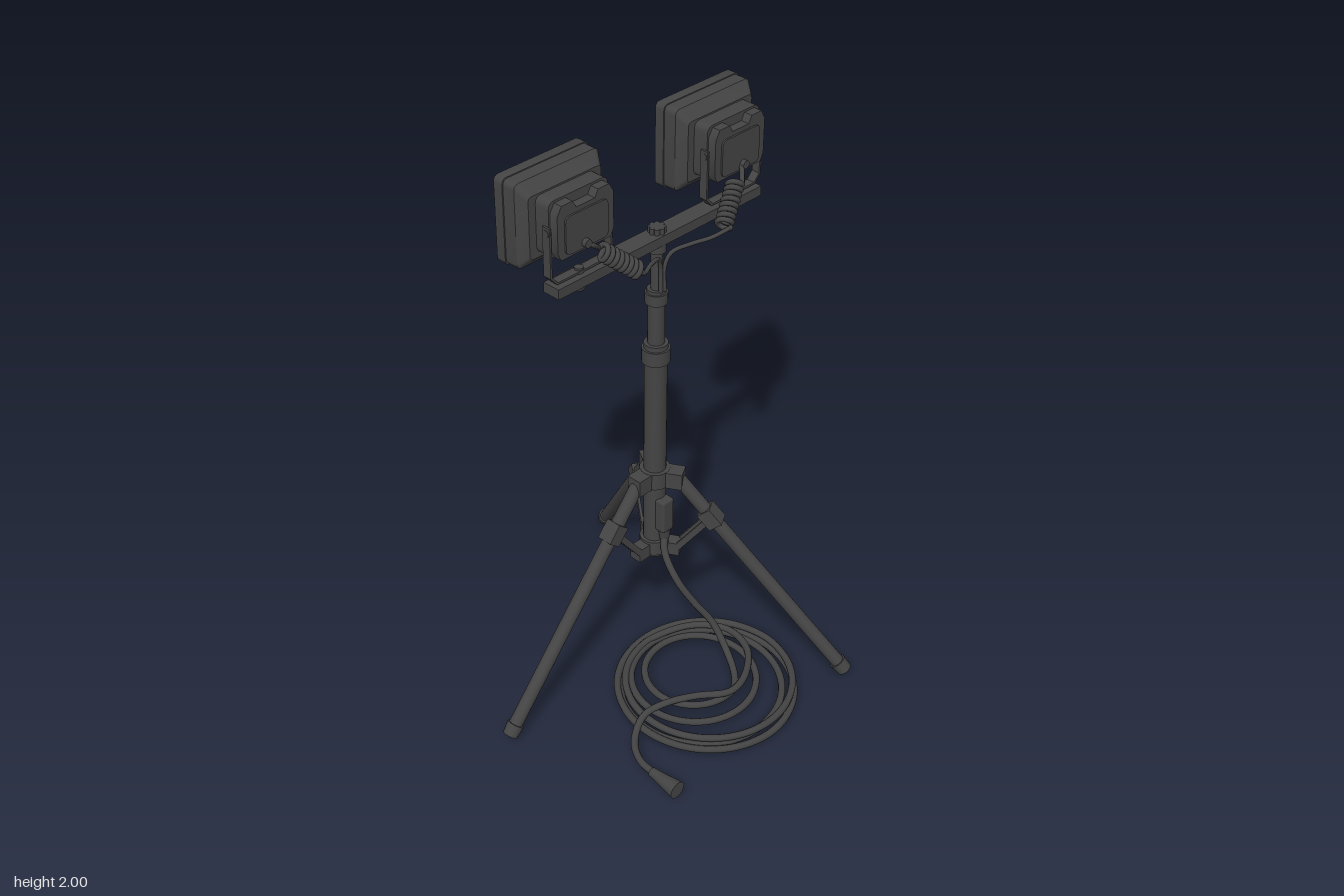
import * as THREE from 'three';
import { toCreasedNormals } from 'three/addons/utils/BufferGeometryUtils.js';
import { RoundedBoxGeometry } from 'three/addons/geometries/RoundedBoxGeometry.js';

const body = new THREE.MeshStandardMaterial({ color: 0x444444 });
body.name = 'dark grey';
const glass = new THREE.MeshStandardMaterial({ color: 0x69675a });
glass.name = 'lens grey';

const AXIS_Z = -0.11; // mast position
const V = (x, y, z) => new THREE.Vector3(x, y, z);

function add(parent, name, geo, x = 0, y = 0, z = 0, mat = body) {
  const m = new THREE.Mesh(geo, mat);
  m.name = name;
  m.position.set(x, y, z);
  parent.add(m);
  return m;
}
const box = (w, h, d) => new THREE.BoxGeometry(w, h, d);
const cyl = (rTop, rBottom, h, n = 20) => new THREE.CylinderGeometry(rTop, rBottom, h, n);

// Cylinder or bar running from a to b
function between(parent, name, a, b, geoFor) {
  const d = b.clone().sub(a);
  const m = add(parent, name, geoFor(d.length()));
  m.position.copy(a).addScaledVector(d, 0.5);
  m.quaternion.setFromUnitVectors(V(0, 1, 0), d.normalize());
  return m;
}

function cable(parent, name, points, r, segments) {
  const curve = new THREE.CatmullRomCurve3(points);
  const m = add(parent, name, new THREE.TubeGeometry(curve, segments, r, 8));
  for (const [p, s] of [[points[0], 0], [points[points.length - 1], 1]]) {
    const cap = add(parent, name + 'End', new THREE.SphereGeometry(r, 8, 6));
    cap.position.copy(p);
  }
  return m;
}

function roundedRect(w, h, r, T = THREE.Shape) {
  const s = new T(), x = w / 2, y = h / 2;
  s.moveTo(-x + r, -y);
  s.lineTo(x - r, -y).quadraticCurveTo(x, -y, x, -y + r);
  s.lineTo(x, y - r).quadraticCurveTo(x, y, x - r, y);
  s.lineTo(-x + r, y).quadraticCurveTo(-x, y, -x, y - r);
  s.lineTo(-x, -y + r).quadraticCurveTo(-x, -y, -x + r, -y);
  return s;
}
const extrude = (shape, depth) => toCreasedNormals(
  new THREE.ExtrudeGeometry(shape, { depth, bevelEnabled: false, curveSegments: 4 }), 0.6);
const polygon = pts => new THREE.Shape(pts.map(p => new THREE.Vector2(...p)));

// Floodlight facing its own +z
function makeLamp() {
  const g = new THREE.Group();
  g.name = 'floodlight';
  const rim = roundedRect(0.34, 0.285, 0.02);
  rim.holes.push(roundedRect(0.296, 0.242, 0.01, THREE.Path));
  add(g, 'lensFrame', extrude(rim, 0.035), 0, 0, 0.13);
  add(g, 'lens', box(0.3, 0.246, 0.008), 0, 0, 0.154, glass);
  add(g, 'housing', extrude(roundedRect(0.332, 0.278, 0.02), 0.047), 0, 0, 0.084);

  // Sloping rear of the housing, narrowed toward the back
  const taper = extrude(roundedRect(0.332, 0.278, 0.02), 0.034);
  const p = taper.attributes.position;
  for (let i = 0; i < p.count; i++) {
    if (p.getZ(i) < 0.01) p.setXY(i, p.getX(i) * 0.87, p.getY(i) * 0.74);
  }
  taper.computeVertexNormals();
  add(g, 'housingTaper', toCreasedNormals(taper, 0.6), 0, 0, 0.05);

  // Driver box with a stepped back and a trapezoid relief
  add(g, 'driverBox', extrude(roundedRect(0.235, 0.185, 0.025), 0.055), 0, 0.005, -0.004);
  const back = polygon([[-0.1, -0.085], [0.1, -0.085], [0.112, -0.06], [0.112, 0.06], [0.095, 0.09],
    [0.05, 0.09], [0.037, 0.066], [-0.037, 0.066], [-0.05, 0.09], [-0.095, 0.09], [-0.112, 0.06], [-0.112, -0.06]]);
  add(g, 'driverCover', extrude(back, 0.032), 0, 0, -0.034);
  add(g, 'coverPanel', extrude(roundedRect(0.17, 0.125, 0.02), 0.006), 0, -0.012, -0.04);

  // U bracket with pivot bolts
  const u = polygon([[-0.126, 0.02], [-0.126, -0.145], [-0.1, -0.174], [0.1, -0.174], [0.126, -0.145], [0.126, 0.02],
    [0.119, 0.02], [0.119, -0.142], [0.097, -0.167], [-0.097, -0.167], [-0.119, -0.142], [-0.119, 0.02]]);
  add(g, 'bracket', extrude(u, 0.03), 0, 0, -0.015);
  for (const s of [-1, 1]) {
    add(g, 'pivotBolt', cyl(0.012, 0.012, 0.014, 12), s * 0.121, 0, 0).rotation.z = Math.PI / 2;
  }
  return g;
}

// Leg spreading toward +z, with its brace and hub lugs
function makeLeg() {
  const g = new THREE.Group();
  g.name = 'leg';
  const top = V(0, 0.755, 0.075), foot = V(0, 0.02, 0.692);
  const at = t => top.clone().lerp(foot, t);
  between(g, 'legTube', top, at(0.98), l => cyl(0.0235, 0.0235, l));
  between(g, 'footCap', at(0.955), foot, l => cyl(0.026, 0.03, l));
  add(g, 'upperLug', box(0.056, 0.062, 0.08), 0, 0.75, 0.06);
  add(g, 'lowerLug', box(0.046, 0.05, 0.07), 0, 0.455, 0.058);
  between(g, 'braceClamp', at(0.155), at(0.24), () => box(0.056, 0.07, 0.054));
  for (const s of [-1, 1]) {
    between(g, 'brace', V(s * 0.018, 0.455, 0.078), at(0.2).add(V(s * 0.018, -0.015, -0.015)),
      l => box(0.01, l, 0.022));
  }
  return g;
}

// Curly lead from a lamp to the mast; s picks the side
function makeLead(g, s) {
  const z = d => AXIS_Z + s * d;
  const a = V(0.055, 1.755, z(0.29)), b = V(0.105, 1.665, z(0.185));
  const axis = b.clone().sub(a).normalize();
  const u = V(0, 1, 0).cross(axis).normalize(), w = axis.clone().cross(u);
  const coil = [];
  for (let i = 0; i <= 96; i++) {
    const q = i / 12 * 2 * Math.PI;
    coil.push(a.clone().lerp(b, i / 96).addScaledVector(u, 0.023 * Math.cos(q)).addScaledVector(w, 0.023 * Math.sin(q)));
  }
  cable(g, 'curlyLead', coil, 0.0085, 240);
  cable(g, 'lampLead', [V(0.03, 1.8, z(0.34)), V(0.05, 1.79, z(0.325)), coil[0]], 0.008, 14);
  cable(g, 'mastLead', [coil[96], V(0.09, 1.635, z(0.15)), V(0.06, 1.625, z(0.09)), V(0.035, 1.61, z(0.03)),
    V(0.026, 1.57, z(0.01)), V(0.026, 1.48, z(0.008))], 0.007, 30);
  add(g, 'cableGland', cyl(0.014, 0.014, 0.025, 12), 0.043, 1.8, z(0.34)).rotation.z = Math.PI / 2;
}

export function createModel() {
  const model = new THREE.Group();
  model.name = 'tripodWorkLight';

  // Telescopic mast: radius, bottom, top
  const mast = new THREE.Group();
  mast.name = 'mast';
  mast.position.z = AXIS_Z;
  model.add(mast);
  const sections = [
    ['lowerTube', 0.038, 0.43, 1.23], ['lowerCollar', 0.047, 1.21, 1.262], ['collarLip', 0.04, 1.262, 1.28],
    ['middleTube', 0.028, 1.25, 1.45], ['upperCollar', 0.037, 1.43, 1.468], ['upperLip', 0.031, 1.468, 1.48],
    ['upperTube', 0.019, 1.46, 1.65], ['topSocket', 0.03, 1.615, 1.645], ['mastEnd', 0.044, 0.425, 0.445],
    ['upperHub', 0.052, 0.72, 0.782], ['lowerHub', 0.05, 0.435, 0.49], ['knobStem', 0.015, 1.675, 1.69]];
  for (const [name, r, y0, y1] of sections) add(mast, name, cyl(r, r, y1 - y0, 24), 0, (y0 + y1) / 2);
  for (const a of [0, 1, -1]) {
    const leg = makeLeg();
    leg.rotation.y = a * 2 * Math.PI / 3;
    mast.add(leg);
  }

  // Star knob on top
  add(mast, 'topKnob', cyl(0.022, 0.022, 0.02), 0, 1.69);
  for (let i = 0; i < 8; i++) {
    const q = i * Math.PI / 4;
    add(mast, 'knobLobe', cyl(0.008, 0.008, 0.02, 8), 0.021 * Math.cos(q), 1.69, 0.021 * Math.sin(q));
  }

  // Crossbar, lamps and their leads
  add(model, 'crossbar', box(0.064, 0.034, 0.885), 0, 1.662, AXIS_Z);
  for (const s of [-1, 1]) {
    const z = AXIS_Z + s * 0.33;
    const lamp = makeLamp();
    lamp.position.set(0, 1.8575, z);
    lamp.rotation.y = -Math.PI / 2;
    model.add(lamp);
    add(model, 'bracketBolt', cyl(0.016, 0.016, 0.018, 6), 0, 1.688, z);
    add(model, 'wingNut', cyl(0.028, 0.018, 0.024, 12), 0, 1.634, z);
    makeLead(model, s);
  }

  // Junction plug hanging beside the mast
  add(model, 'junctionPlug', new RoundedBoxGeometry(0.042, 0.13, 0.052, 2, 0.008), 0.046, 0.605, AXIS_Z);
  add(model, 'strainRelief', cyl(0.022, 0.014, 0.06, 12), 0.048, 0.515, AXIS_Z);

  // Power cable: drop, coil on the ground, then the tail to the plug
  const path = [V(0.048, 0.52, -0.11), V(0.07, 0.46, -0.09), V(0.13, 0.37, -0.09), V(0.18, 0.27, -0.13),
    V(0.225, 0.18, -0.175), V(0.29, 0.09, -0.178), V(0.365, 0.065, -0.135)];
  const loops = [[0.16, 0.065], [0.19, 0.06], [0.25, 0.038], [0.292, 0.014], [0.308, 0.014], [0.308, 0.04], [0.26, 0.05]];
  const steps = 24, turns = 4.55;
  for (let i = 0; i <= turns * steps; i++) {
    const t = i / (turns * steps) * (loops.length - 1);
    const k = Math.min(Math.floor(t), loops.length - 2), f = t - k;
    const [r, y] = [0, 1].map(j => loops[k][j] * (1 - f) + loops[k + 1][j] * f);
    const q = -0.2 + i / steps * 2 * Math.PI;
    const shift = (r - 0.16) / 0.15;
    path.push(V(0.26 + 0.045 * shift + r * Math.cos(q), y, -0.045 - 0.015 * shift + r * Math.sin(q)));
  }
  path.push(V(0.09, 0.06, -0.21), V(0.2, 0.068, -0.28), V(0.32, 0.075, -0.25), V(0.41, 0.08, -0.14), V(0.43, 0.085, -0.04),
    V(0.36, 0.085, 0.06), V(0.31, 0.08, 0.15), V(0.29, 0.068, 0.235), V(0.33, 0.04, 0.32),
    V(0.405, 0.035, 0.368), V(0.48, 0.035, 0.376));
  cable(model, 'powerCable', path, 0.0125, 520);

  // Mains plug lying on its side
  const plug = new THREE.Group();
  plug.name = 'mainsPlug';
  plug.position.set(0.465, 0.035, 0.376);
  plug.rotation.z = -Math.PI / 2;
  plug.rotation.y = 0;
  model.add(plug);
  add(plug, 'plugGrip', cyl(0.02, 0.016, 0.04, 16), 0, 0.02);
  add(plug, 'plugBody', cyl(0.031, 0.02, 0.08, 16), 0, 0.076);

  return model;
}
